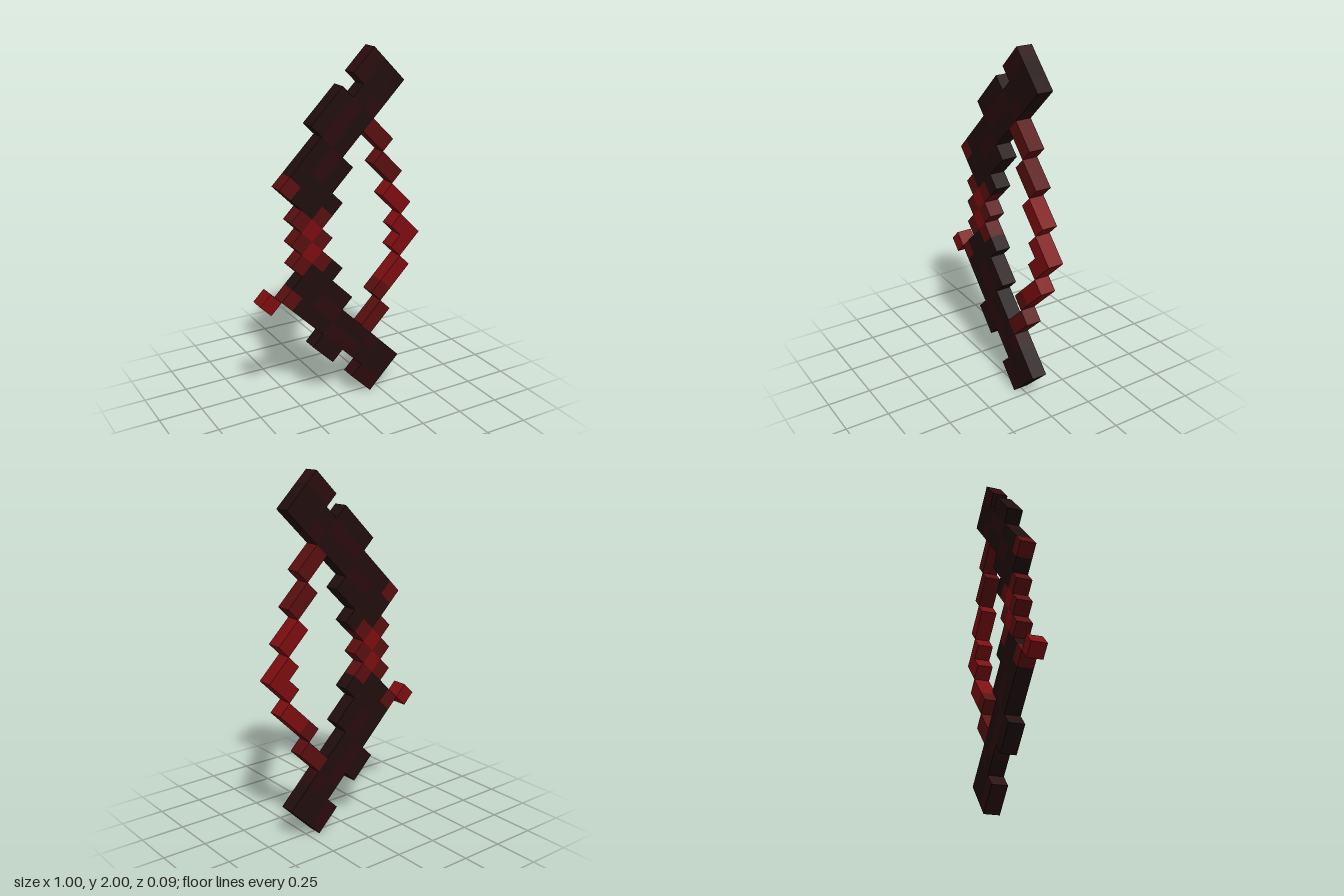
import * as THREE from 'three';

const D = 0.0625;               // half diagonal of one cube cell
const S = D * Math.SQRT2;       // cell side

const mat = (name, color) => {
  const m = new THREE.MeshStandardMaterial({ color });
  m.name = name;
  return m;
};

export function createModel() {
  const bow = new THREE.Group();
  bow.name = 'bow';
  const dark = mat('darkWood', 0x200d0d);
  const grain = mat('redGrain', 0x2a0b0d);
  const red = mat('deepRed', 0x590e0f);
  const bright = mat('brightRed', 0x7c0d10);

  // A bar of n cells from cell (u, v); dir 1 runs up-right, -1 runs down-right
  function bar(parent, name, material, u, v, n = 1, dir = 1) {
    const mesh = new THREE.Mesh(new THREE.BoxGeometry(n * S, S, S), material);
    const h = (n - 1) / 2;
    mesh.position.set((u + h) * D, (v + dir * h) * D, 0);
    mesh.rotation.z = dir * Math.PI / 4;
    mesh.name = name;
    parent.add(mesh);
  }
  const part = (name) => {
    const g = new THREE.Group();
    g.name = name;
    bow.add(g);
    return g;
  };

  // Limbs: rows of cells [u, v, count, material, name], the lower one mirrored
  for (const side of [1, -1]) {
    const limb = part(side > 0 ? 'upperLimb' : 'lowerLimb');
    const rows = [
      [-2, 26, side > 0 ? 3 : 2, dark, 'outerRidge'],
      [2, 30, 2, grain, 'limbTip'],
      [-5, 21, 1, red, 'limbStud'],
      [-4, 22, 3, dark, 'limbWood'],
      [-1, 25, 3, grain, 'limbGrain'],
      [2, 28, 3, dark, 'limbWood'],
      [-4, 20, 2, dark, 'limbWood'],
      [-2, 22, 2, grain, 'limbGrain'],
      [0, 24, 3, dark, 'limbWood'],
      [3, 27, 1, grain, 'limbGrain'],
      [4, 28, 2, dark, 'limbWood'],
      [-3, 19, 4, dark, 'innerRidge'],
      [-1, 19, 1, dark, 'innerStep'],
    ];
    for (const [u, v, n, m, name] of rows) {
      bar(limb, name, m, u, side > 0 ? v : 32 - v, n, side);
    }
  }

  // Grip: bright core inside a deep red wrap
  const grip = part('grip');
  for (const v of [15, 17]) bar(grip, 'gripCore', bright, -3, v);
  for (const v of [14, 16, 18]) for (const u of [-4, -2]) bar(grip, 'gripWrap', red, u, v);

  // Stepped string
  const string = part('string');
  bar(string, 'stringTop', red, 3, 25, 2, -1);
  bar(string, 'stringUpper', red, 4, 22, 2, -1);
  bar(string, 'stringMiddle', bright, 5, 19, 2, -1);
  bar(string, 'stringNock', bright, 6, 16, 2, -1);
  bar(string, 'stringNock', bright, 6, 14);
  bar(string, 'stringLower', bright, 5, 11, 2);
  bar(string, 'stringLower', red, 4, 10);
  bar(string, 'stringBottom', red, 3, 7, 2);

  // Arrow rest sticking out in front of the lower limb
  bar(bow, 'arrowPoint', bright, -7, 11);
  return bow;
}
